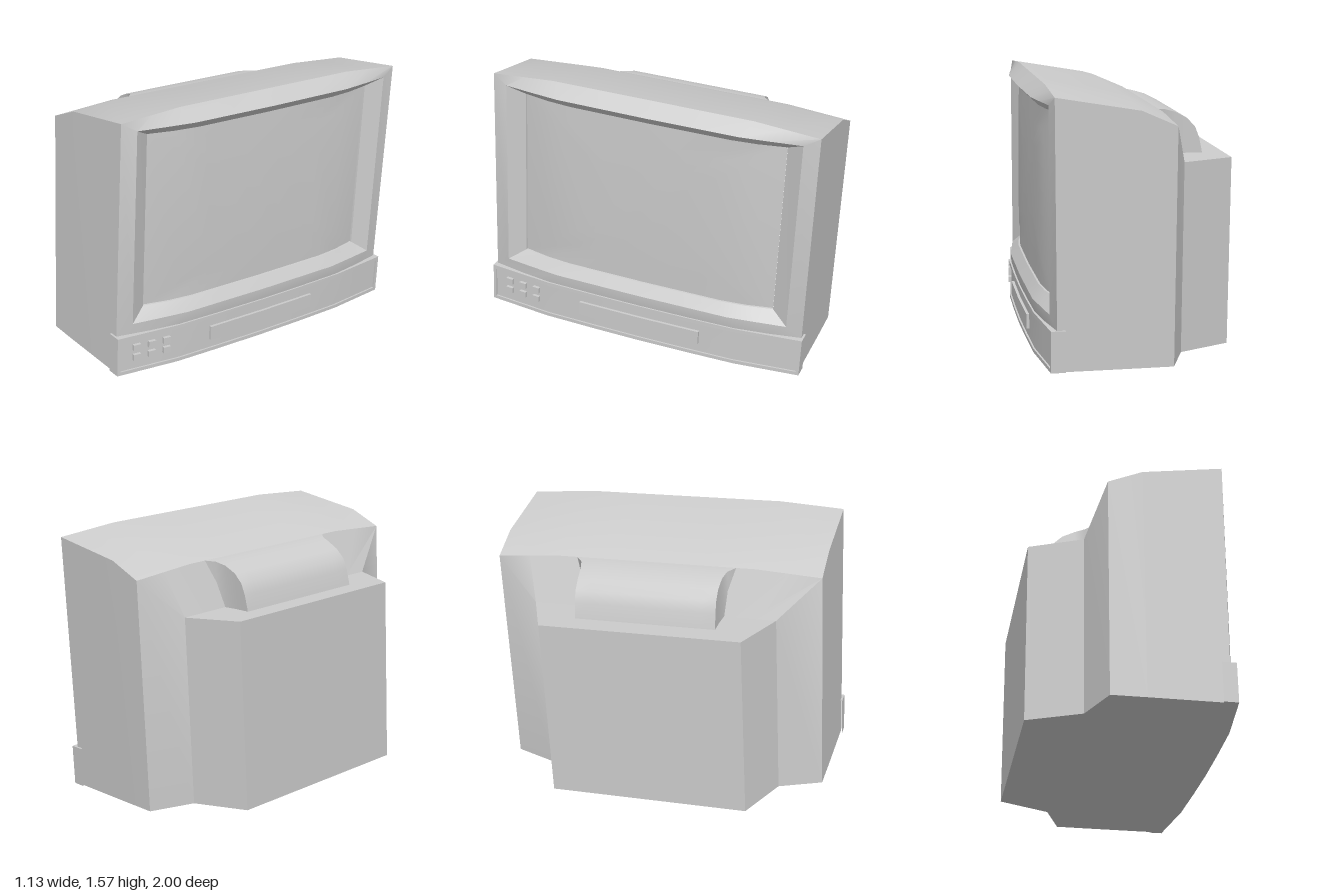
import * as THREE from 'three';
import { toCreasedNormals } from 'three/addons/utils/BufferGeometryUtils.js';

const material = new THREE.MeshStandardMaterial({ color: 0xcccccc });
const STEPS = [-1, -0.8, -0.61, -0.3, 0, 0.3, 0.61, 0.8, 1];
const lerp = THREE.MathUtils.lerp;

// Bowed front: x as a function of z, falling to 0.5 at |z| = end
function bow(z, end) {
  const a = Math.abs(z);
  if (a < 0.55) return lerp(0.557, 0.55, a / 0.55);
  return lerp(0.55, 0.5, (a - 0.55) / (end - 0.55));
}

// Four-sided cross-section whose top edge may be crowned; x is a number or a rule of (z, y)
function ring(x, hw, y0, yEnd, yMid = yEnd) {
  const at = (z, y) => new THREE.Vector3(typeof x === 'number' ? x : x(z, y), y, z);
  const top = STEPS.map(u => {
    const t = Math.max(0, (Math.abs(u) - 0.61) / 0.39);
    return at(u * hw, lerp(yMid, yEnd, t));
  });
  const bottom = STEPS.map(u => at(-u * hw, y0));
  return [...top, ...bottom];
}

// Skin joining rings listed from back to front
function loft(name, rings) {
  const n = rings[0].length;
  const index = [];
  for (let i = 0; i < rings.length - 1; i++) {
    for (let j = 0; j < n; j++) {
      const k = (j + 1) % n;
      const a = i * n + j, b = i * n + k, c = b + n, d = a + n;
      index.push(a, b, c, a, c, d);
    }
  }
  const geo = new THREE.BufferGeometry().setFromPoints(rings.flat());
  geo.setIndex(index);
  const mesh = new THREE.Mesh(toCreasedNormals(geo, 0.5), material);
  mesh.name = name;
  return mesh;
}

export function createModel() {
  const model = new THREE.Group();
  model.name = 'television';
  const set = new THREE.Group();
  set.name = 'tiltedSet';
  model.add(set);

  // Front edge of the cabinet leans slightly forward at the top
  const lean = (z, y) => 0.463 + 0.011 * y;

  // Cabinet with the narrower rear housing
  set.add(loft('cabinet', [
    ring(-0.57, 0.585, 0.59, 0.59),
    ring(-0.57, 0.585, 0.051, 1.13),
    ring(-0.27, 0.715, 0.051, 1.13),
    ring(-0.175, 0.957, 0.051, 1.365, 1.391),
    ring(0.02, 0.959, 0.051, 1.45, 1.474),
    ring(lean, 0.96, 0.051, 1.525, 1.551),
  ]));

  // Rounded hump over the picture tube
  set.add(loft('rearHump', [
    ring(-0.445, 0.41, 1.1, 1.13),
    ring(-0.425, 0.41, 1.1, 1.22),
    ring(-0.4, 0.41, 1.1, 1.282),
    ring(-0.35, 0.41, 1.1, 1.332),
    ring(-0.28, 0.415, 1.1, 1.367),
    ring(-0.22, 0.43, 1.1, 1.384),
    ring(-0.175, 0.47, 1.1, 1.391),
    ring(-0.05, 0.5, 1.1, 1.4),
  ]));

  // Bevelled frame and the recess walls around the screen
  const frameBase = (z, y) =>
    y < 0.5 && Math.abs(z) < 0.95 ? bow(z, 0.872) - 0.01 : lean(z, y);
  const opening = (z, y) => bow(z, 0.872) - (y < 0.5 ? 0.006 : 0);
  const recess = z => bow(z, 0.77) - 0.05;
  set.add(loft('screenFrame', [
    ring(lean, 0.96, 0.051, 1.525, 1.551),
    ring(frameBase, 0.96, 0.275, 1.525, 1.551),
    ring(opening, 0.872, 0.347, 1.475),
    ring(recess, 0.775, 0.413, 1.425),
    ring(z => recess(z) - 0.012, 0.772, 0.415, 1.423),
  ]));

  // Gently bulging screen
  const screenRing = s => ring(
    z => recess(z) - 0.01 + 0.008 * (1 - s * s),
    0.772 * s, 0.919 - 0.504 * s, 0.919 + 0.504 * s);
  set.add(loft('screen', [1, 0.75, 0.5, 0.25, 0].map(screenRing)));

  // Control panel with a raised rim
  const face = z => bow(z, 0.972);
  const sunk = z => face(z) - 0.01;
  set.add(loft('controlPanel', [
    ring(0.42, 0.972, 0.051, 0.282),
    ring(face, 0.972, 0.051, 0.282),
    ring(face, 0.953, 0.072, 0.26),
    ring(sunk, 0.953, 0.072, 0.26),
    ring(sunk, 0.953, 0.166, 0.166),
  ]));

  // Flap in the middle of the panel
  const proud = z => face(z) + 0.006;
  set.add(loft('panelFlap', [
    ring(0.52, 0.375, 0.125, 0.21),
    ring(proud, 0.375, 0.125, 0.21),
    ring(proud, 0.375, 0.167, 0.167),
  ]));

  // Two rows of three buttons
  const buttonGeo = new THREE.BoxGeometry(0.035, 0.036, 0.044);
  for (const z of [0.853, 0.76, 0.667]) {
    for (const y of [0.207, 0.147]) {
      const button = new THREE.Mesh(buttonGeo, material);
      button.name = 'button';
      button.position.set(face(z) - 0.009, y, z);
      button.rotation.y = -0.12;
      set.add(button);
    }
  }

  // The whole set rests slightly tilted
  set.children.forEach(part => { part.position.z += 0.032; });
  set.rotation.x = -0.049;
  return model;
}
